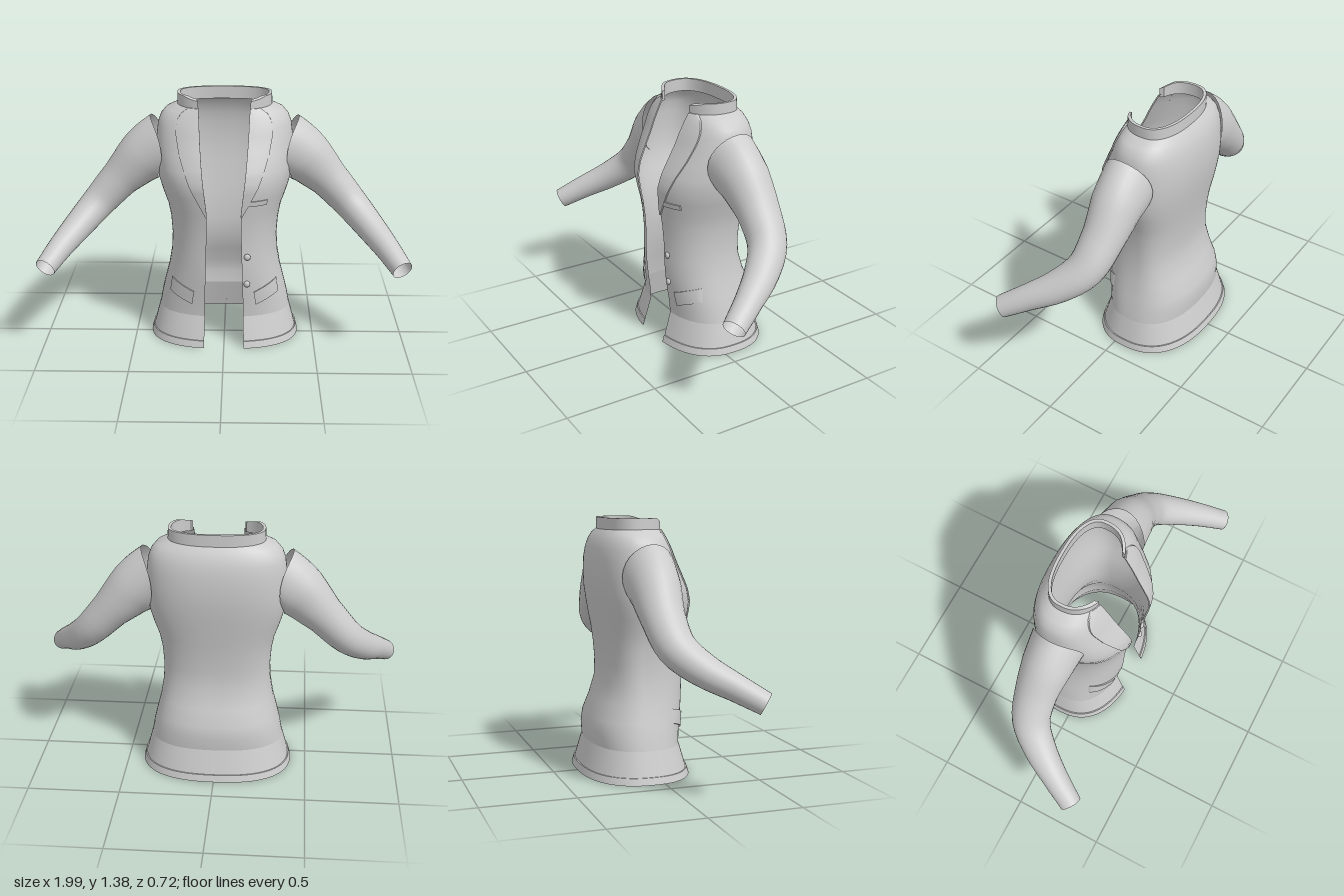
import * as THREE from 'three';
import { toCreasedNormals } from 'three/addons/utils/BufferGeometryUtils.js';

const cloth = new THREE.MeshStandardMaterial({ color: 0xcccccc, side: THREE.DoubleSide });
cloth.name = 'light grey cloth';

// torso sections: height, half width, front z, back z, half opening
const SECTIONS = [
  [0, 0.41, 0.22, -0.36, 0.11], [0.17, 0.365, 0.17, -0.31, 0.105], [0.24, 0.352, 0.175, -0.316, 0.105],
  [0.31, 0.335, 0.185, -0.308, 0.103], [0.4, 0.312, 0.195, -0.27, 0.1], [0.5, 0.295, 0.2, -0.238, 0.097],
  [0.6, 0.29, 0.2, -0.235, 0.094], [0.7, 0.297, 0.207, -0.243, 0.092], [0.78, 0.312, 0.218, -0.253, 0.09],
  [0.86, 0.34, 0.228, -0.266, 0.098], [0.93, 0.36, 0.234, -0.276, 0.106], [1.0, 0.37, 0.218, -0.286, 0.114],
  [1.08, 0.372, 0.18, -0.29, 0.121], [1.16, 0.368, 0.14, -0.287, 0.127], [1.22, 0.36, 0.115, -0.276, 0.13],
  [1.26, 0.345, 0.095, -0.262, 0.132], [1.295, 0.315, 0.077, -0.243, 0.134], [1.325, 0.25, 0.06, -0.218, 0.136],
];
const P = 0.82; // roundness of the sections

// piecewise interpolation in a table keyed by its first column
function lookup(table, k) {
  let i = 0;
  while (i < table.length - 2 && k > table[i + 1][0]) i++;
  const a = table[i], b = table[i + 1];
  const f = THREE.MathUtils.clamp((k - a[0]) / (b[0] - a[0]), 0, 1);
  return a.map((v, n) => v + (b[n] - v) * f);
}

function section(y) {
  const [, w, zf, zb, g] = lookup(SECTIONS, y);
  const zc = -0.06 - 0.03 * (y / 1.32);
  const start = Math.asin(Math.pow(g / w, 1 / P));
  return { w, g, zc, start, rf: (zf - zc) / Math.pow(Math.cos(start), P), rb: zc - zb };
}

// point around a section, u = 0..1 from the left front edge round the back; grow widens it
function around(y, u, grow = 0) {
  const s = section(y);
  const a = s.start + (Math.PI * 2 - 2 * s.start) * u;
  const sn = Math.sin(a), cs = Math.cos(a);
  return [
    (s.w + grow) * Math.sign(sn) * Math.pow(Math.abs(sn), P), y,
    s.zc + ((cs > 0 ? s.rf : s.rb) + grow) * Math.sign(cs) * Math.pow(Math.abs(cs), P),
  ];
}

// z of the front panel at x, y
function frontZ(x, y) {
  const s = section(y);
  const k = Math.min(Math.abs(x) / s.w, 1);
  return s.zc + s.rf * Math.pow(1 - Math.pow(k, 2 / P), P / 2);
}

// surface from a grid of points
function grid(rows, cols, fn, flip = false, crease = 0) {
  const pos = [], idx = [];
  for (let i = 0; i <= rows; i++) for (let j = 0; j <= cols; j++) pos.push(...fn(i, j));
  for (let i = 0; i < rows; i++) for (let j = 0; j < cols; j++) {
    const a = i * (cols + 1) + j, b = a + 1, c = a + cols + 1, d = c + 1;
    if (flip) idx.push(a, c, b, b, c, d);
    else idx.push(a, b, c, b, d, c);
  }
  const geo = new THREE.BufferGeometry();
  geo.setAttribute('position', new THREE.Float32BufferAttribute(pos, 3));
  geo.setIndex(idx);
  geo.computeVertexNormals();
  return crease ? toCreasedNormals(geo, crease) : geo;
}

// thin plate lying on the front panel; shape(u, v) gives x, y
function plate(shape, side, lift, nu = 10, nv = 10) {
  const clamp = (i, n) => THREE.MathUtils.clamp((i - 1) / (n - 2), 0, 1);
  return grid(nv, nu, (i, j) => {
    const [x, y] = shape(clamp(j, nu), clamp(i, nv));
    const edge = i === 0 || j === 0 || i === nv || j === nu;
    return [x * side, y, frontZ(x, y) + (edge ? 0 : lift)];
  }, side < 0, 0.7);
}

// sleeve rings: centre x, y, z, then radius in the vertical plane and radius across
const SLEEVE = [
  [0.385, 1.088, -0.065, 0.168, 0.145], [0.455, 1.015, -0.07, 0.145, 0.132], [0.575, 0.895, -0.072, 0.108, 0.113],
  [0.695, 0.765, -0.045, 0.092, 0.102], [0.79, 0.67, 0.055, 0.08, 0.088], [0.875, 0.59, 0.19, 0.067, 0.07],
  [0.945, 0.515, 0.318, 0.056, 0.06],
];

function sleeve(side) {
  const path = new THREE.CatmullRomCurve3(SLEEVE.map((r) => new THREE.Vector3(r[0], r[1], r[2])));
  const keyed = SLEEVE.map((r, i) => [i / (SLEEVE.length - 1), r[3], r[4]]);
  const rows = 24, cols = 28, forward = new THREE.Vector3(0, 0, 1);
  const rings = [];
  for (let i = 0; i <= rows; i++) {
    const k = i / rows;
    // the armhole plane is nearly upright, then the rings follow the arm
    const t = path.getTangent(k).lerp(new THREE.Vector3(1, -0.1, 0), Math.max(0, 1 - k * 5)).normalize();
    const v = t.clone().cross(forward).normalize();
    const [, rv, rw] = lookup(keyed, k);
    rings.push({ c: path.getPoint(k), v, w: v.clone().cross(t), rv, rw, k });
  }
  return grid(rows, cols, (i, j) => {
    const r = rings[i], a = (j / cols) * Math.PI * 2;
    const p = r.c.clone().addScaledVector(r.v, Math.cos(a) * r.rv).addScaledVector(r.w, -Math.sin(a) * r.rw);
    p.x -= 0.05 * Math.sin(a) ** 2 * Math.max(0, 1 - r.k * 6); // armhole wraps the torso
    return [p.x * side, p.y, p.z];
  }, side < 0);
}

export function createModel() {
  const jacket = new THREE.Group();
  jacket.name = 'jacket';
  const add = (name, geo) => {
    const mesh = new THREE.Mesh(geo, cloth);
    mesh.name = name;
    jacket.add(mesh);
    return mesh;
  };

  // torso, open down the front, with a flared skirt
  const skirt = SECTIONS.slice(0, 2), upper = SECTIONS.slice(1);
  add('skirt', grid(1, 64, (i, j) => around(skirt[i][0], j / 64)));
  add('torso', grid(upper.length - 1, 64, (i, j) => around(upper[i][0], j / 64)));

  // hem band
  const hem = [[0, 0], [0, 0.006], [0.038, 0.006], [0.038, 0]];
  add('hem', grid(3, 64, (i, j) => around(hem[i][0], j / 64, hem[i][1]), false, 0.7));

  // standing collar, lower and chamfered towards the front ends
  const collar = [[1.312, 0.006], [1.38, 0.004], [1.38, -0.012], [1.312, -0.012]];
  add('collar', grid(3, 56, (i, j) => {
    const u = j / 56, end = j === 0 || j === 56;
    const [x, , z] = around(1.325, u, end ? 0.005 : collar[i][1]);
    const drop = 0.02 * THREE.MathUtils.clamp((z - 0.015) / 0.045, 0, 1);
    return [x, collar[i][0] - (i === 1 || i === 2 ? drop : drop * 0.2), z];
  }, false, 0.7));

  // outer edge of the lapel: height, x
  const lapelEdge = [[0.765, 0.095], [0.93, 0.18], [1.0, 0.207], [1.09, 0.237], [1.2, 0.258], [1.25, 0.253], [1.29, 0.232], [1.322, 0.185]];
  for (const side of [1, -1]) {
    const hand = side > 0 ? 'left' : 'right';
    add(hand + 'Sleeve', sleeve(side));
    add(hand + 'Lapel', plate((u, v) => {
      const y = 0.765 + v * 0.555;
      const inner = section(y).g, outer = lookup(lapelEdge, y)[1];
      return [inner + u * Math.max(outer - inner, 0.004), y];
    }, side, 0.008, 10, 22));
    // slanted pocket flap
    add(hand + 'PocketFlap', plate((u, v) => [0.175 + 0.125 * u - 0.012 * v, 0.242 + 0.052 * u + 0.078 * v], side, 0.009));
  }

  // breast pocket welt on the left
  add('breastPocket', plate((u, v) => [0.125 + 0.105 * u, 0.83 + 0.028 * v], 1, 0.007));

  // buttons
  for (const y of [0.535, 0.375]) {
    const button = add('button', new THREE.SphereGeometry(0.018, 16, 10));
    button.scale.z = 0.6;
    button.position.set(0.126, y, frontZ(0.126, y) + 0.006);
  }
  return jacket;
}
